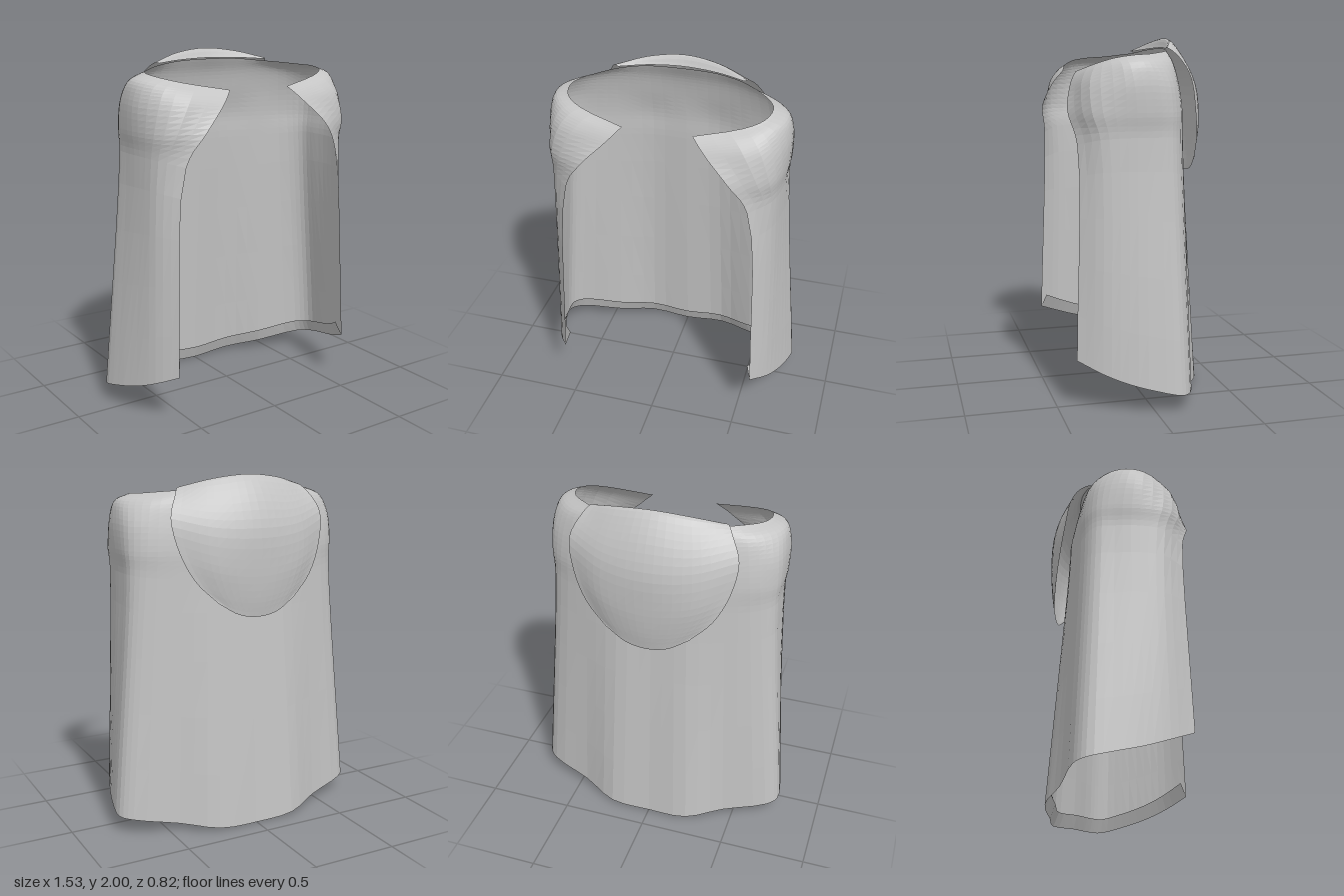
import * as THREE from 'three';

// Half cross-sections of the cloak, from the middle of the back round to the front edge
const hem = [[0, 0, -.375], [.24, .015, -.378], [.45, .05, -.28], [.70, .09, -.195], [.76, .10, -.13],
  [.75, .13, 0], [.71, .17, .15], [.66, .22, .28], [.58, .28, .405]];
const waist = [[0, 1.45, -.285], [.2, 1.45, -.285], [.4, 1.45, -.235], [.58, 1.46, -.165], [.645, 1.47, -.1],
  [.655, 1.47, 0], [.65, 1.47, .14], [.615, 1.46, .28], [.505, 1.43, .38]];
const chest = [[0, 1.6, -.28], [.2, 1.6, -.28], [.4, 1.6, -.23], [.57, 1.6, -.17], [.65, 1.6, -.1],
  [.668, 1.6, 0], [.662, 1.6, .15], [.6, 1.6, .32], [.4, 1.6, .41]];
const shoulder = [[0, 1.74, -.26], [.2, 1.74, -.25], [.39, 1.75, -.21], [.55, 1.76, -.15], [.64, 1.76, -.08],
  [.667, 1.77, .03], [.657, 1.76, .16], [.55, 1.75, .32], [.28, 1.72, .375]];
const collar = [[0, 1.86, -.23], [.2, 1.86, -.22], [.37, 1.87, -.18], [.52, 1.86, -.12], [.61, 1.86, -.03],
  [.64, 1.86, .06], [.62, 1.85, .17], [.5, 1.82, .29], [.23, 1.77, .35]];
const neck = [[0, 1.94, -.19], [.2, 1.935, -.185], [.35, 1.92, -.15], [.45, 1.91, -.08], [.53, 1.90, 0],
  [.56, 1.895, .08], [.535, 1.88, .18], [.44, 1.855, .25], [.19, 1.81, .32]];

// Half cross-sections of the lowered hood, tip first, rim last
const hoodRows = [
  [[0, 1.23, -.38], [.12, 1.25, -.375], [.24, 1.32, -.36]],
  [[0, 1.34, -.397], [.2, 1.37, -.378], [.36, 1.44, -.33]],
  [[0, 1.5, -.408], [.25, 1.53, -.38], [.44, 1.6, -.295]],
  [[0, 1.72, -.4], [.25, 1.73, -.36], [.47, 1.78, -.255]],
  [[0, 1.9, -.33], [.23, 1.88, -.295], [.42, 1.89, -.2]],
  [[0, 2, -.24], [.2, 1.98, -.215], [.38, 1.935, -.15]],
  [[0, 1.945, -.205], [.2, 1.94, -.185], [.36, 1.93, -.14]],
];

// Skin mirrored cross-sections, smoothing across them and then along them
function loft(rows, perColumn, perRow) {
  const around = (rows[0].length - 1) * 2 * perColumn;
  const up = (rows.length - 1) * perRow;
  const sections = rows.map((half) => {
    const left = half.slice().reverse();
    const right = half.slice(1).map(([x, y, z]) => [-x, y, z]);
    const pts = [...left, ...right].map((p) => new THREE.Vector3(...p));
    return new THREE.CatmullRomCurve3(pts).getPoints(around);
  });
  const positions = [], index = [];
  for (let i = 0; i <= around; i++) {
    const column = new THREE.CatmullRomCurve3(sections.map((s) => s[i])).getPoints(up);
    column.forEach((p) => positions.push(p.x, p.y, p.z));
  }
  for (let i = 0; i < around; i++) {
    for (let j = 0; j < up; j++) {
      const a = i * (up + 1) + j, b = a + up + 1;
      index.push(a, b, b + 1, a, b + 1, a + 1);
    }
  }
  const geometry = new THREE.BufferGeometry();
  geometry.setAttribute('position', new THREE.Float32BufferAttribute(positions, 3));
  geometry.setIndex(index);
  geometry.computeVertexNormals();
  return geometry;
}

export function createModel() {
  const group = new THREE.Group();
  group.name = 'hoodedCloak';
  const cloth = new THREE.MeshStandardMaterial({ color: 0xc4c4c4, side: THREE.DoubleSide, flatShading: true });
  cloth.name = 'grey cloth';

  const add = (name, geometry) => {
    const mesh = new THREE.Mesh(geometry, cloth);
    mesh.name = name;
    group.add(mesh);
  };

  // Body, open at the front and rounded over the shoulders
  add('cloakBody', loft([hem, waist, chest, shoulder, collar, neck], 3, 5));

  // Turned-in hem, rising slightly inside the lower edge
  const facing = hem.map(([x, y, z]) => [x * .955, y + .08, z * .92]);
  add('hemFacing', loft([hem, facing], 3, 1));

  // Hood lying on the back
  add('hood', loft(hoodRows, 5, 4));

  return group;
}
